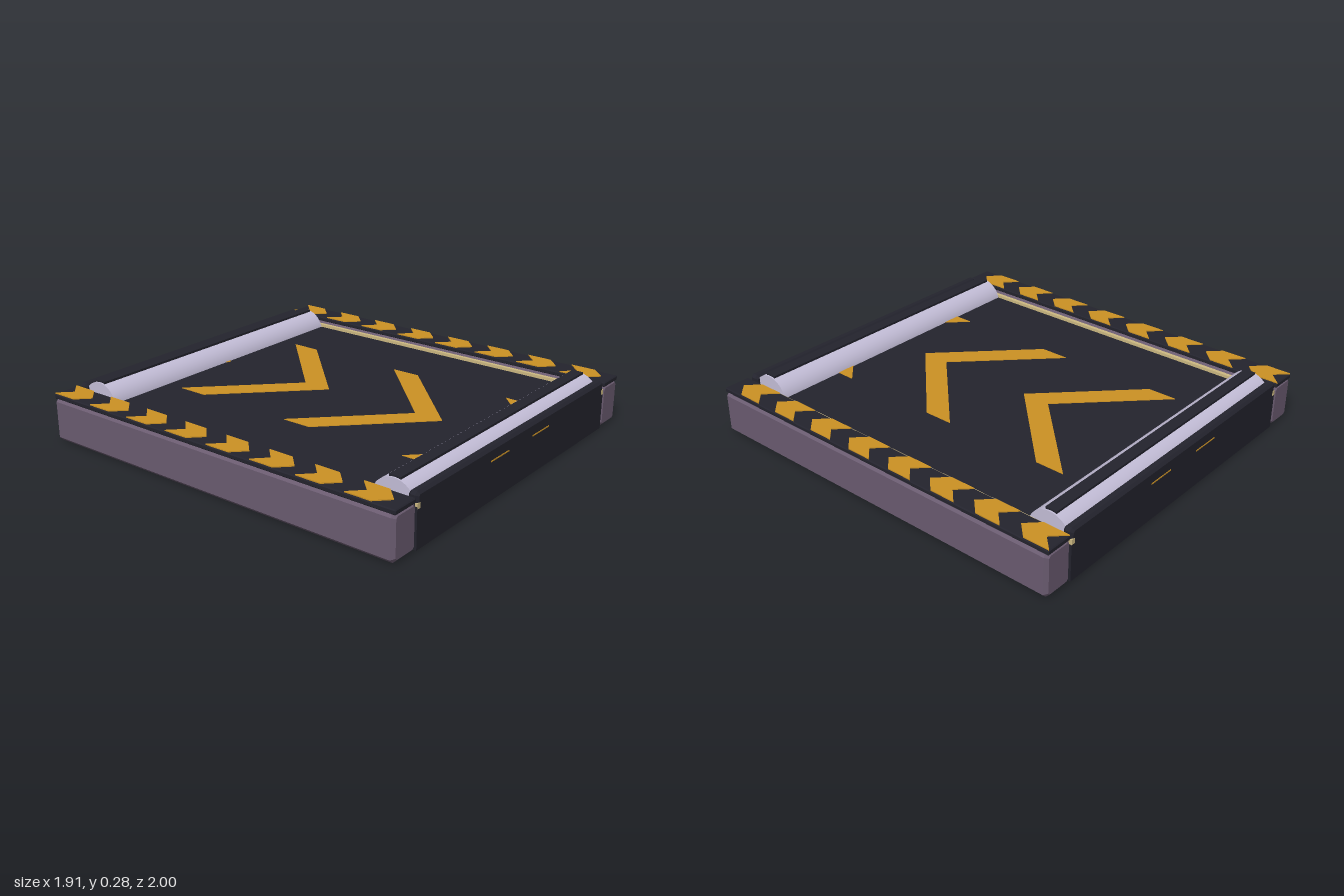
import * as THREE from 'three';

const mat = (name, color) => Object.assign(new THREE.MeshStandardMaterial({ color }), { name });

export function createModel() {
  const dark = mat('darkRubber', 0x23232d);
  const purple = mat('purpleMetal', 0x6a5b70);
  const amber = mat('amberPaint', 0xcc9224);
  const lavender = mat('rollerMetal', 0xc4bed8);
  const cream = mat('creamTrim', 0xcdb982);

  const model = new THREE.Group();
  model.name = 'conveyorPad';

  const add = (name, geometry, material, x = 0, y = 0, z = 0) => {
    const mesh = new THREE.Mesh(geometry, material);
    mesh.name = name;
    mesh.position.set(x, y, z);
    model.add(mesh);
    return mesh;
  };

  // Box with every edge cut at an angle
  const chamferBox = (w, h, d, c) => {
    const a = w / 2 - c, b = h / 2 - c, k = c * 0.6;
    const shape = new THREE.Shape([
      [a, -b + k], [a, b - k], [a - k, b], [-a + k, b],
      [-a, b - k], [-a, -b + k], [-a + k, -b], [a - k, -b],
    ].map(([x, y]) => new THREE.Vector2(x, y)));
    return new THREE.ExtrudeGeometry(shape, {
      depth: d - 2 * c, bevelEnabled: true, bevelSize: c, bevelThickness: c, bevelSegments: 1,
    }).translate(0, 0, c - d / 2);
  };

  // Flat plate lying on the ground plane, outlined by [x, z] points
  const plate = (points, thickness) => new THREE.ExtrudeGeometry(
    new THREE.Shape(points.map(([x, z]) => new THREE.Vector2(x, -z))),
    { depth: thickness, bevelEnabled: false },
  ).rotateX(-Math.PI / 2);

  // Chevron pointing to +z; its outer corners start at z
  const chevron = (half, band, z) => [
    [-half, z], [0, z + half], [half, z],
    [half, z + band], [0, z + half + band], [-half, z + band],
  ];

  // Base with the belt surface
  add('beltBase', new THREE.BoxGeometry(1.6, 0.19, 1.996), dark, 0, 0.095, 0);

  // Belt arrows, the end ones cut off by the pad edge
  const arrowY = 0.187, arrowT = 0.006;
  for (const z of [-0.667, 0]) add('beltArrow', plate(chevron(0.435, 0.15, z), arrowT), amber, 0, arrowY, 0);
  add('backBeltArrow', plate([
    [-0.252, -1], [-0.102, -1], [0, -0.898], [0.102, -1], [0.252, -1], [0, -0.748],
  ], arrowT), amber, 0, arrowY, 0);
  for (const s of [-1, 1]) {
    add('frontBeltArrow', plate([
      [s * 0.435, 0.667], [s * 0.435, 0.817], [s * 0.252, 1], [s * 0.102, 1],
    ], arrowT), amber, 0, arrowY, 0);
  }

  // Side rails with a striped top plate and inner trim
  for (const [side, s] of [['left', 1], ['right', -1]]) {
    add(side + 'Rail', chamferBox(0.155, 0.22, 1.996, 0.016), purple, s * 0.8785, 0.11, 0);
    add(side + 'RailTop', chamferBox(0.138, 0.024, 2, 0.004), dark, s * 0.88, 0.224, 0);
    add(side + 'Trim', new THREE.BoxGeometry(0.02, 0.025, 1.998), cream, s * 0.79, 0.193, 0);
    for (let i = 0; i < 8; i++) {
      add(side + 'RailArrow', plate(chevron(0.064, 0.13, -1 + i * 0.25), 0.006), amber, s * 0.88, 0.235, 0);
    }
  }

  // Rollers with a grip strip, and the bars closing each end
  for (const [end, s] of [['front', 1], ['back', -1]]) {
    add(end + 'Roller', new THREE.CylinderGeometry(0.11, 0.11, 1.56, 48).rotateZ(Math.PI / 2),
      lavender, 0, 0.163, s * 0.87);
    add(end + 'RollerGrip', new THREE.BoxGeometry(1.545, 0.014, 0.058), dark, 0, 0.273, s * 0.87);
    add(end + 'Bar', chamferBox(1.6, 0.075, 0.048, 0.012), dark, 0, 0.2135, s * 0.974);
  }

  return model;
}
